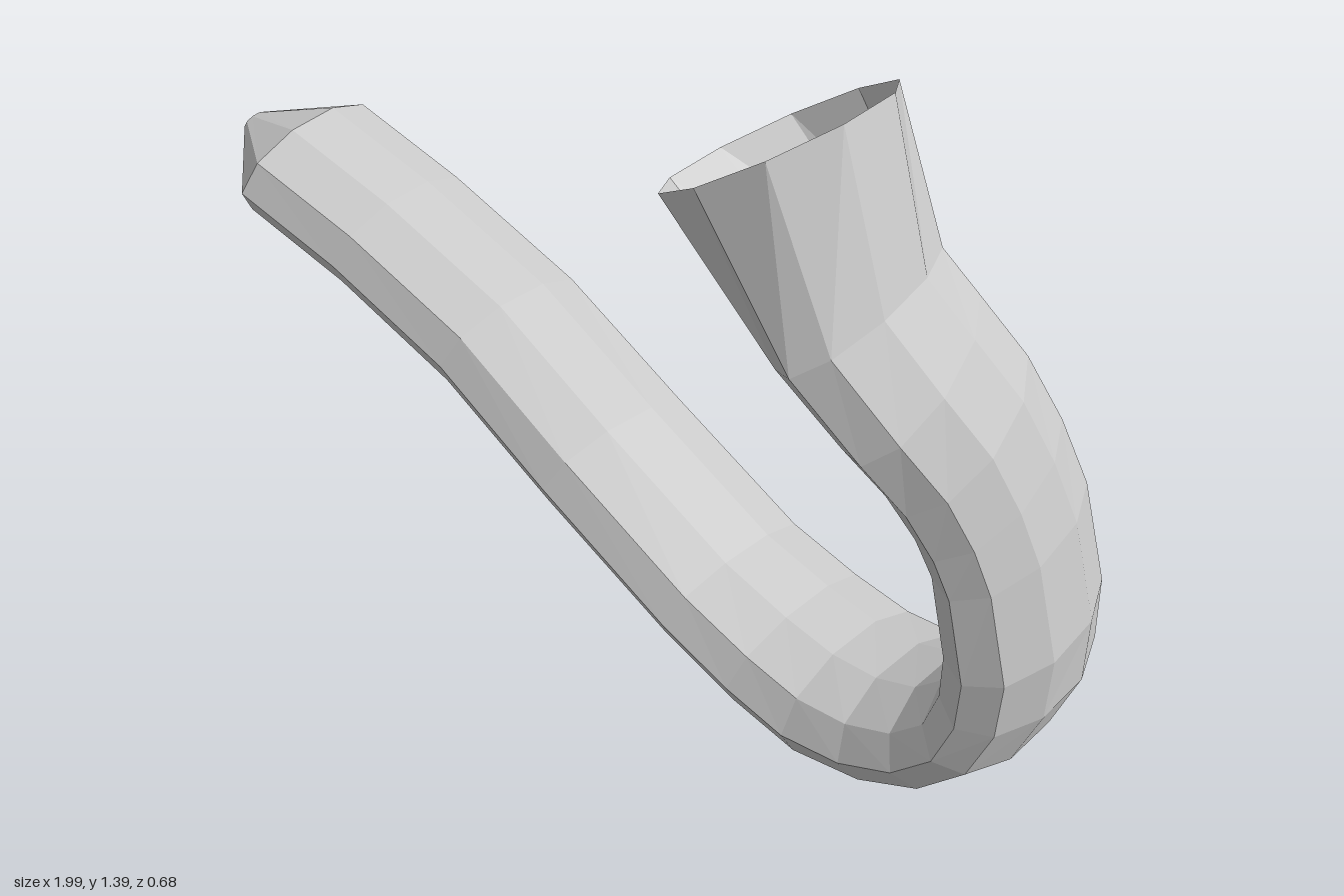
import * as THREE from 'three';

// Stations along the bent tube: centre x, y, z, half width, half thickness
const STATIONS = [
  [-0.995, 0.58, -0.14, 0.03, 0.015],
  [-0.85, 0.55, -0.15, 0.18, 0.098],
  [-0.6, 0.485, -0.158, 0.178, 0.098],
  [-0.3, 0.39, -0.155, 0.178, 0.099],
  [0, 0.28, -0.12, 0.18, 0.095],
  [0.3, 0.162, -0.098, 0.18, 0.092],
  [0.45, 0.118, -0.095, 0.185, 0.096],
  [0.58, 0.1, -0.09, 0.188, 0.098],
  [0.7, 0.123, -0.085, 0.186, 0.09],
  [0.8, 0.175, -0.08, 0.182, 0.084],
  [0.868, 0.25, -0.078, 0.178, 0.082],
  [0.9, 0.352, -0.075, 0.173, 0.087],
  [0.905, 0.468, -0.06, 0.17, 0.09],
  [0.875, 0.65, -0.032, 0.168, 0.086],
  [0.845, 0.75, -0.002, 0.168, 0.087],
  [0.806, 0.855, 0.042, 0.17, 0.092],
  [0.755, 0.96, 0.1, 0.175, 0.09],
  [0.69, 1.065, 0.148, 0.18, 0.09],
  [0.535, 1.287, 0.155, 0.185, 0.18],
];
const SIDES = 10;

// Skins a ten-sided oval section along the stations; the flared end stays open
function sweptTube() {
  const centres = STATIONS.map(([x, y, z]) => new THREE.Vector3(x, y, z));
  const last = centres.length - 1;
  const squash = 1 / Math.sin(0.4 * Math.PI); // flats reach the full thickness
  const positions = [], index = [];

  STATIONS.forEach(([, , , halfWidth, halfThick], i) => {
    const tangent = centres[Math.min(i + 1, last)].clone()
      .sub(centres[Math.max(i - 1, 0)]).normalize();
    if (i === last) tangent.setZ(0).normalize();
    const across = new THREE.Vector3(0, 0, 1).addScaledVector(tangent, -tangent.z).normalize();
    const normal = new THREE.Vector3().crossVectors(tangent, across);
    for (let j = 0; j < SIDES; j++) {
      const a = (j / SIDES) * Math.PI * 2;
      const p = centres[i].clone()
        .addScaledVector(across, Math.cos(a) * halfWidth)
        .addScaledVector(normal, Math.sin(a) * halfThick * squash);
      positions.push(p.x, p.y, p.z);
    }
  });

  for (let i = 0; i < last; i++) {
    for (let j = 0; j < SIDES; j++) {
      const k = (j + 1) % SIDES;
      const a = i * SIDES + j, b = i * SIDES + k;
      index.push(a, b, b + SIDES, a, b + SIDES, a + SIDES);
    }
  }
  // Small cap closing the wedge tip
  for (let j = 1; j < SIDES - 1; j++) index.push(0, j + 1, j);

  const geometry = new THREE.BufferGeometry();
  geometry.setAttribute('position', new THREE.Float32BufferAttribute(positions, 3));
  geometry.setIndex(index);
  geometry.computeVertexNormals();
  return geometry;
}

export function createModel() {
  const group = new THREE.Group();
  group.name = 'bentHorn';
  const material = new THREE.MeshStandardMaterial({
    color: 0xcccccc, flatShading: true, side: THREE.DoubleSide,
  });
  const tube = new THREE.Mesh(sweptTube(), material);
  tube.name = 'flaredTube';
  group.add(tube);
  return group;
}
